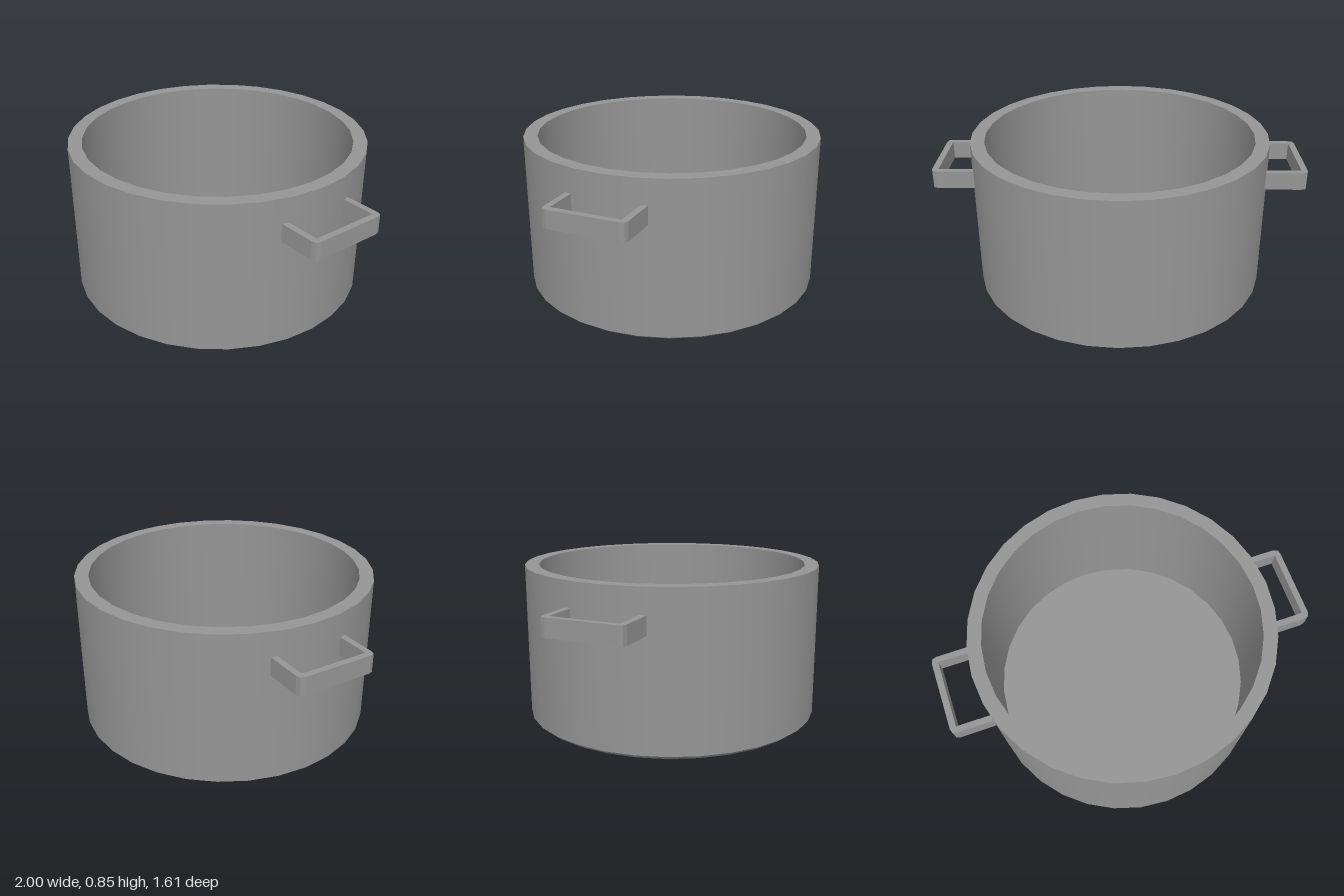
import * as THREE from 'three';
import { mergeGeometries } from 'three/addons/utils/BufferGeometryUtils.js';

const material = new THREE.MeshStandardMaterial({ color: 0x959595 });

// Round body: one band per profile edge, smooth around but crisp between bands
function createBody() {
  const profile = [
    [0, 0], [0.777, 0], [0.807, 0.023], [0.807, 0.851],
    [0.732, 0.851], [0.732, 0.075], [0, 0.075],
  ].map(([r, y]) => new THREE.Vector2(r, y));
  const bands = [];
  for (let i = 0; i < profile.length - 1; i++) {
    bands.push(new THREE.LatheGeometry([profile[i], profile[i + 1]], 32));
  }
  const body = new THREE.Mesh(mergeGeometries(bands), material);
  body.name = 'potBody';
  return body;
}

// U-shaped strap handle with softened outer corners, ends sunk into the wall
function createHandle() {
  const start = 0.76, reach = 1, half = 0.218, thick = 0.034, round = 0.03;
  const s = new THREE.Shape();
  s.moveTo(start, -half);
  s.lineTo(reach - round, -half);
  s.quadraticCurveTo(reach, -half, reach, -half + round);
  s.lineTo(reach, half - round);
  s.quadraticCurveTo(reach, half, reach - round, half);
  s.lineTo(start, half);
  s.lineTo(start, half - thick);
  s.lineTo(reach - thick, half - thick);
  s.lineTo(reach - thick, -half + thick);
  s.lineTo(start, -half + thick);
  s.closePath();
  const geometry = new THREE.ExtrudeGeometry(s, { depth: 0.097, bevelEnabled: false, curveSegments: 2 });
  geometry.rotateX(Math.PI / 2);
  geometry.translate(0, 0.717, 0);
  return new THREE.Mesh(geometry, material);
}

export function createModel() {
  const pot = new THREE.Group();
  pot.name = 'cookingPot';
  pot.add(createBody());

  // Matching handles on both sides
  ['leftHandle', 'rightHandle'].forEach((name, i) => {
    const handle = createHandle();
    handle.name = name;
    handle.rotation.y = i * Math.PI;
    pot.add(handle);
  });
  return pot;
}
